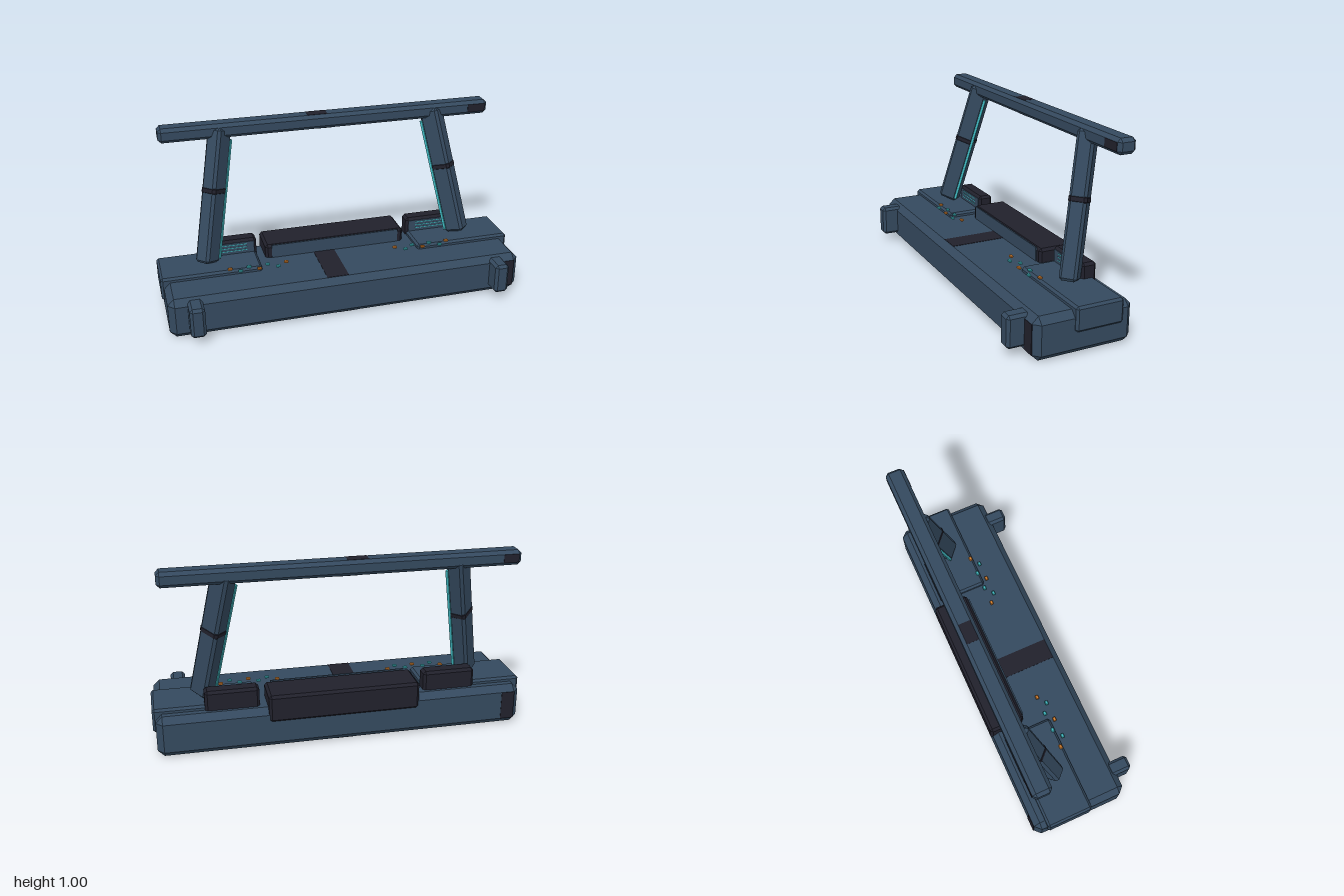
import * as THREE from 'three';
import { ConvexGeometry } from 'three/addons/geometries/ConvexGeometry.js';

const paint = (name, color) => Object.assign(new THREE.MeshStandardMaterial({ color }), { name });

// Box with every edge cut at 45 degrees
function chamferBox(w, h, d, c) {
  const points = [];
  for (const x of [-1, 1]) for (const y of [-1, 1]) for (const z of [-1, 1]) {
    const [a, b, e] = [w / 2, h / 2, d / 2];
    points.push(
      new THREE.Vector3(x * a, y * (b - c), z * (e - c)),
      new THREE.Vector3(x * (a - c), y * b, z * (e - c)),
      new THREE.Vector3(x * (a - c), y * (b - c), z * e));
  }
  return new ConvexGeometry(points);
}

export function createModel() {
  const model = new THREE.Group();
  model.name = 'barrierModel';
  const blue = paint('slate blue', 0x34495e);
  const dark = paint('charcoal', 0x20202b);
  const teal = paint('teal', 0x3fb8c0);
  const orange = paint('orange', 0xd9822f);

  // Adds a box given by its limits on each axis; chamfered when c > 0
  function block(name, mat, [x0, x1], [y0, y1], [z0, z1], c = 0) {
    const size = [x1 - x0, y1 - y0, z1 - z0];
    const geo = c ? chamferBox(...size, c) : new THREE.BoxGeometry(...size);
    const mesh = new THREE.Mesh(geo, mat);
    mesh.name = name;
    mesh.position.set((x0 + x1) / 2, (y0 + y1) / 2, (z0 + z1) / 2);
    model.add(mesh);
    return mesh;
  }
  const side = (s, a, b) => (s > 0 ? [a, b] : [-b, -a]);

  // Base, rear housing and top beam
  block('base', blue, [-0.985, 0.985], [0, 0.225], [-0.3, 0.235], 0.034);
  block('rearHousing', dark, [-0.405, 0.405], [0.15, 0.3], [-0.31, -0.11], 0.014);
  block('housingFront', blue, [-0.37, 0.37], [0.226, 0.302], [-0.112, -0.104]);
  block('topBeam', blue, [-0.93, 0.93], [0.92, 1], [-0.31, -0.21], 0.018);

  // Dark painted bands and patches
  block('baseTopBand', dark, [-0.13, -0.01], [0.222, 0.227], [-0.11, 0.2]);
  block('baseBottomBand', dark, [-0.07, 0.04], [-0.001, 0.003], [-0.266, 0.201]);
  block('beamTopBand', dark, [-0.12, -0.01], [0.997, 1.001], [-0.292, -0.228]);
  block('beamBottomBand', dark, [-0.07, 0.03], [0.919, 0.923], [-0.292, -0.228]);
  block('beamFrontPatch', dark, [0.81, 0.912], [0.938, 0.982], [-0.213, -0.208]);
  block('beamRearPatch', dark, [-0.912, -0.83], [0.938, 0.982], [-0.312, -0.307]);
  block('baseFrontPatch', dark, [0.88, 0.953], [0.034, 0.191], [0.231, 0.237]);
  block('baseRearPatch', dark, [-0.953, -0.88], [0.034, 0.191], [-0.302, -0.296]);

  for (const s of [-1, 1]) {
    // End blocks, bumpers and underside slots
    block('endBlock', blue, side(s, 0.45, 1), [0.12, 0.25], [-0.235, 0.025], 0.012);
    block('bumper', blue, side(s, 0.805, 0.885), [0.045, 0.215], [0.2, 0.325], 0.015);
    block('undersideSlot', dark, side(s, 0.325, 0.435), [-0.001, 0.003], [-0.16, -0.12]);

    // Vent box with its grille
    block('ventBox', dark, side(s, 0.445, 0.73), [0.19, 0.33], [-0.25, -0.165], 0.014);
    block('ventFront', blue, side(s, 0.46, 0.715), [0.25, 0.316], [-0.167, -0.162]);
    for (const y of [0.268, 0.286, 0.304])
      block('ventLine', teal, side(s, 0.5, 0.68), [y - 0.002, y + 0.002], [-0.164, -0.16]);

    // Zigzag row of indicator lights
    for (let i = 0; i < 7; i++) {
      const x = 0.315 + i * 0.0517;
      const z = i % 2 ? 0.047 : 0.012;
      block('indicatorLight', i % 3 ? teal : orange, side(s, x - 0.012, x + 0.012),
        [0.247, 0.259], [z - 0.009, z + 0.009], 0.003);
    }

    // Leaning post, turned diagonally, local y along its length
    const up = new THREE.Vector3(-s * 0.135, 0.71, -0.165).normalize();
    const across = new THREE.Vector3().crossVectors(up, new THREE.Vector3(-s, 0, -1)).normalize();
    const lean = new THREE.Vector3().crossVectors(across, up);
    const post = new THREE.Group();
    post.name = 'post';
    post.position.set(s * 0.667, 0.615, -0.173);
    post.quaternion.setFromRotationMatrix(new THREE.Matrix4().makeBasis(across, up, lean));
    const add = (name, geo, mat, x = 0, y = 0, z = 0) => {
      const mesh = new THREE.Mesh(geo, mat);
      mesh.name = name;
      mesh.position.set(x, y, z);
      post.add(mesh);
    };
    add('postBody', chamferBox(0.09, 0.74, 0.112, 0.014), blue);
    add('postBand', chamferBox(0.094, 0.05, 0.116, 0.014), dark, 0, 0.03);
    add('lightStrip', new THREE.BoxGeometry(0.014, 0.66, 0.014), teal, s * 0.04, -0.02, 0.053);
    model.add(post);
  }
  return model;
}
